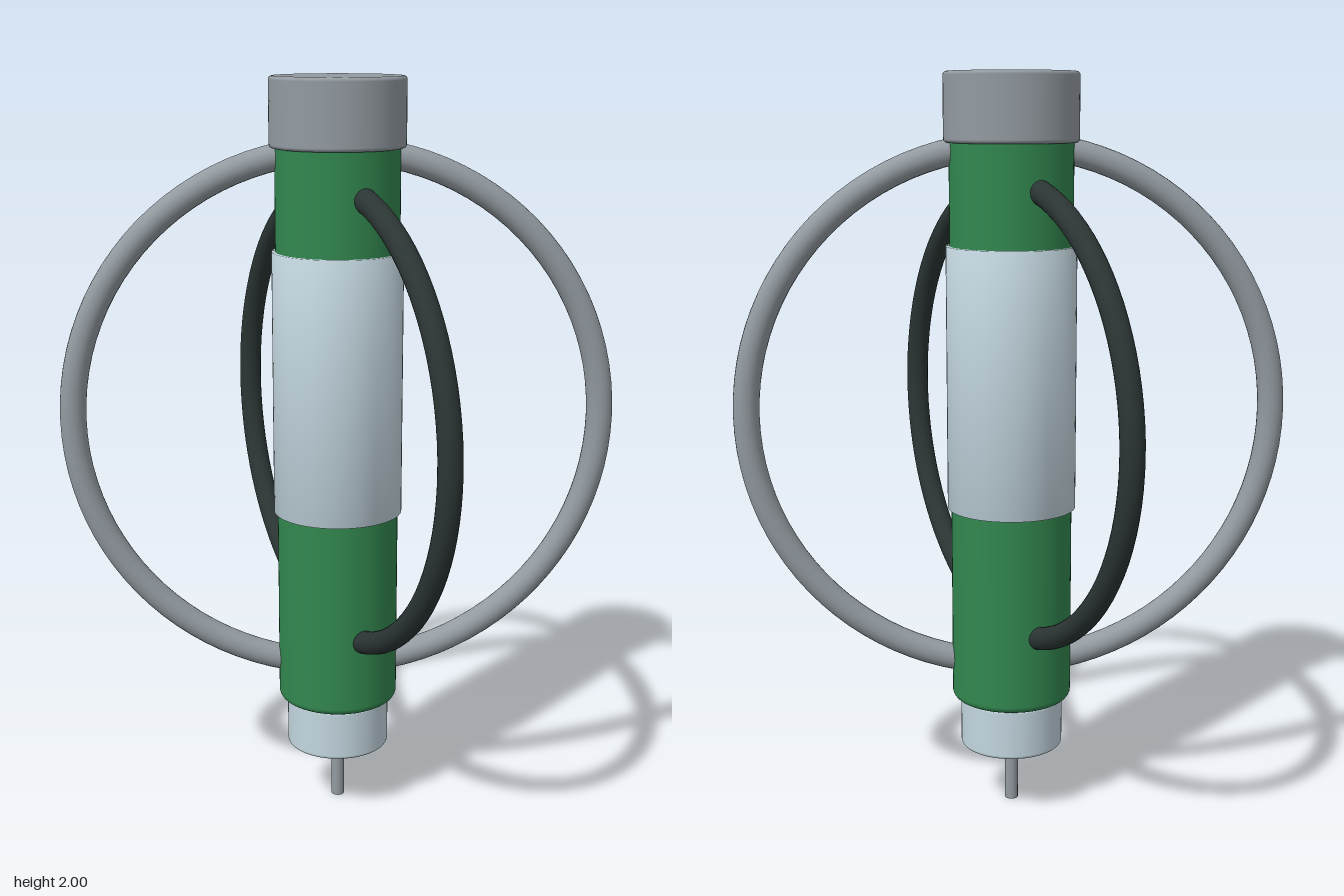
import * as THREE from 'three';

const material = (name, color) => {
  const m = new THREE.MeshStandardMaterial({ color });
  m.name = name;
  return m;
};

// Closed cylinder with small rounded rims; bottom and top radii of the rounding
function roundedCylinder(radius, y0, y1, bevel) {
  const path = new THREE.Path();
  path.moveTo(0, y0);
  path.lineTo(radius - bevel, y0);
  path.absarc(radius - bevel, y0 + bevel, bevel, -Math.PI / 2, 0, false);
  path.lineTo(radius, y1 - bevel);
  path.absarc(radius - bevel, y1 - bevel, bevel, 0, Math.PI / 2, false);
  path.lineTo(0, y1);
  return new THREE.LatheGeometry(path.getPoints(5), 64);
}

export function createModel() {
  const group = new THREE.Group();
  const green = material('green', 0x32874f);
  const grey = material('grey', 0x939ba1);
  const pale = material('pale blue grey', 0xc3d6df);
  const dark = material('charcoal green', 0x2b3534);

  const add = (name, geometry, mat) => {
    const mesh = new THREE.Mesh(geometry, mat);
    mesh.name = name;
    group.add(mesh);
    return mesh;
  };

  // Central column
  add('body', roundedCylinder(0.163, 0.31, 1.84, 0.02), green);
  add('cap', roundedCylinder(0.177, 1.82, 2, 0.01), grey);
  add('collar', roundedCylinder(0.14, 0.17, 0.312, 0.01), pale);

  // Sleeve with shading that rolls softly over its rims
  const sleeve = [[0, 0.85], [0.173, 0.85], [0.173, 1.555], [0, 1.555]]
    .map(([r, y]) => new THREE.Vector2(r, y));
  add('sleeve', new THREE.LatheGeometry(sleeve, 64), pale);

  // Pin at the foot
  const pin = add('pin', new THREE.CylinderGeometry(0.018, 0.018, 0.18, 24), grey);
  pin.position.y = 0.09;

  // Two upright hoops passing through the body
  const hoops = [
    ['largeHoop', 0.705, 0.035, 28.4, grey],
    ['smallHoop', 0.611, 0.031, -38.3, dark],
  ];
  for (const [name, radius, tube, angle, mat] of hoops) {
    const hoop = add(name, new THREE.TorusGeometry(radius, tube, 20, 96), mat);
    hoop.position.y = 1.11;
    hoop.rotation.y = THREE.MathUtils.degToRad(angle);
  }

  return group;
}
